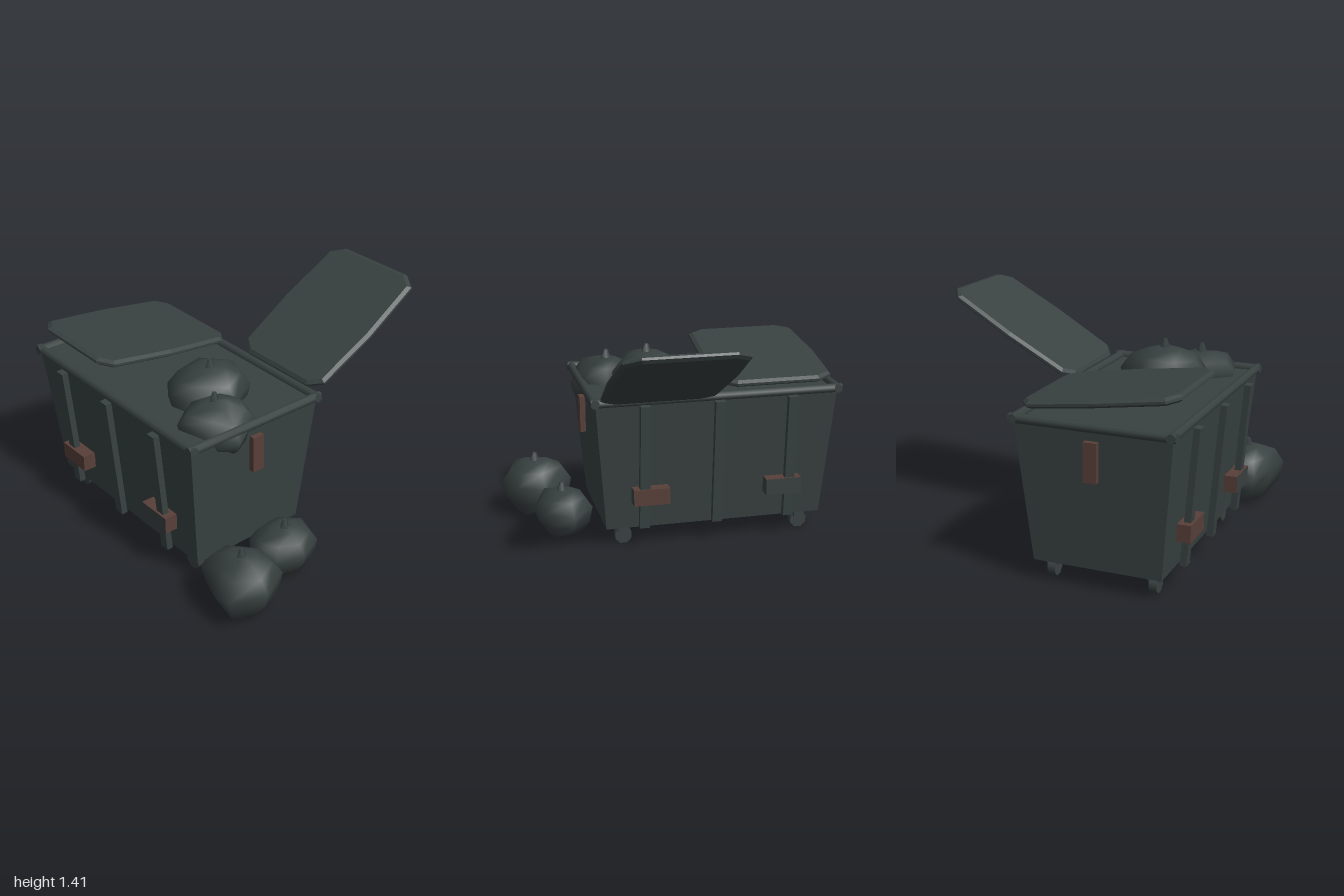
import * as THREE from 'three';
import { mergeVertices } from 'three/addons/utils/BufferGeometryUtils.js';

const paint = (name, color) => {
  const m = new THREE.MeshStandardMaterial({ color });
  m.name = name;
  return m;
};

export function createModel() {
  const model = new THREE.Group();
  const metal = paint('dark grey metal', 0x394141);
  const plastic = paint('dark bag plastic', 0x384040);
  const rust = paint('rusty brown', 0x583f39);
  const CX = -0.23, CZ = 0.36; // middle of the container

  const add = (name, geometry, material, x, y, z) => {
    const mesh = new THREE.Mesh(geometry, material);
    mesh.name = name;
    mesh.position.set(x, y, z);
    model.add(mesh);
    return mesh;
  };
  const box = (w, h, d) => new THREE.BoxGeometry(w, h, d);

  // Tapered container body
  const body = box(2, 0.81, 2);
  const p = body.attributes.position;
  for (let i = 0; i < p.count; i++) {
    const top = p.getY(i) > 0;
    p.setX(i, p.getX(i) * (top ? 0.738 : 0.672));
    p.setZ(i, p.getZ(i) * (top ? 0.446 : 0.37));
  }
  body.computeVertexNormals();
  add('body', body, metal, CX, 0.525, CZ);

  // Rim tubes
  const tube = (length) => new THREE.CylinderGeometry(0.027, 0.027, length, 8).rotateY(Math.PI / 8);
  for (const s of [-1, 1]) {
    add('rimLong', tube(1.53).rotateZ(Math.PI / 2), metal, CX, 0.935, CZ + s * 0.44);
    add('rimShort', tube(0.93).rotateX(Math.PI / 2), metal, CX + s * 0.74, 0.935, CZ);
  }

  // Leaning ribs on the front and back
  for (const s of [-1, 1]) {
    for (const x of [-0.68, -0.23, 0.22]) {
      const rib = add('rib', box(0.06, 0.78, 0.038), metal, x, 0.525, CZ + s * 0.45);
      rib.rotation.x = s * 0.081;
    }
  }

  // Lifting blocks, with worn faces: +x, -x, +y, -y, +z, -z
  const R = rust, M = metal;
  const block = box(0.22, 0.1, 0.08);
  add('liftBlock', block, R, -0.64, 0.34, 0.793);
  add('liftBlock', block, [R, R, R, R, M, R], 0.18, 0.34, 0.793);
  add('liftBlock', block, [M, R, R, R, R, R], 0.18, 0.34, -0.068);
  add('liftBlock', block, [M, M, R, M, M, M], -0.64, 0.34, -0.068);

  // Side handles
  for (const s of [-1, 1]) {
    add('sideHandle', box(0.034, 0.22, 0.075), rust, CX + s * 0.747, 0.75, CZ);
  }

  // Castors
  for (const sx of [-1, 1]) {
    for (const sz of [-1, 1]) {
      const x = CX + sx * 0.56, z = CZ + sz * 0.297;
      const wheel = new THREE.CylinderGeometry(0.054, 0.054, 0.045, 8);
      wheel.rotateY(Math.PI / 8).rotateX(Math.PI / 2);
      add('wheel', wheel.toNonIndexed(), metal, x, 0.052, z);
      add('wheelBracket', box(0.065, 0.05, 0.075), metal, x, 0.1, z);
    }
  }

  // Two bevelled lids with clipped corners and bowed sides
  const outline = [[0.255, -0.452], [0.345, -0.39], [0.364, 0], [0.345, 0.39], [0.255, 0.452]];
  const mirrored = outline.map(([x, y]) => [-x, y]).reverse();
  const lidShape = new THREE.Shape([...outline, ...mirrored].map(([x, y]) => new THREE.Vector2(x, y)));
  const lid = new THREE.ExtrudeGeometry(lidShape, {
    depth: 0.014, bevelThickness: 0.014, bevelSize: 0.022, bevelOffset: -0.022, bevelSegments: 1,
  });
  lid.translate(0, 0, -0.007).rotateX(-Math.PI / 2);
  add('closedLid', lid, metal, -0.6, 1.052, 0.365).rotation.x = -0.133;
  add('openLid', lid, metal, 0.145, 1.174, -0.5).rotation.x = 0.524;

  // Bin bags: one outline scaled up a profile of [height, width], plus a knot
  const profile = [[0, 0], [0.02, 0.58], [0.3, 0.89], [0.62, 1], [0.86, 0.75], [1, 0.38], [1.03, 0]];
  const bag = (cx, cz, y0, y1, points, sag = 0) => {
    const n = points.length, pos = [], index = [];
    profile.forEach(([h, w], r) => {
      points.forEach(([x, z], j) => {
        const wobble = w > 0.5 ? 0.012 * Math.sin(j * 2.4 + r * 1.7) : 0;
        const drop = j === 2 ? sag * w : 0;
        const y = y0 + h * (y1 - y0) + wobble - drop;
        pos.push(cx + (x - cx) * w, y, cz + (z - cz) * w);
        if (r === 0) return;
        const k = (j + 1) % n, a = (r - 1) * n + j, b = (r - 1) * n + k, c = r * n + j, d = r * n + k;
        if (r > 1) index.push(a, c, b);
        if (r < profile.length - 1) index.push(b, c, d);
      });
    });
    let geometry = new THREE.BufferGeometry();
    geometry.setAttribute('position', new THREE.Float32BufferAttribute(pos, 3));
    geometry.setIndex(index);
    geometry = mergeVertices(geometry);
    geometry.computeVertexNormals();
    add('binBag', geometry, plastic, 0, 0, 0);
    add('bagKnot', new THREE.CylinderGeometry(0.014, 0.034, 0.06, 4), plastic, cx, y1 + 0.025, cz);
  };
  // Floor bags
  bag(0.78, 0.69, 0.02, 0.35, [[0.74, 0.48], [0.915, 0.51], [1, 0.69], [0.925, 0.89],
    [0.725, 0.86], [0.56, 0.8], [0.555, 0.64]]);
  bag(0.665, 0.28, 0.02, 0.285, [[0.62, 0.065], [0.78, 0.13], [0.84, 0.28], [0.79, 0.45],
    [0.63, 0.5], [0.5, 0.4], [0.49, 0.2]]);
  // Bags in the container, one sagging over the side
  bag(0.11, 0.36, 0.8, 1.11, [[0.06, 0.1], [0.25, 0.18], [0.335, 0.36], [0.22, 0.58],
    [0.065, 0.62], [-0.09, 0.51], [-0.13, 0.28]]);
  bag(0.335, 0.51, 0.79, 1.05, [[0.37, 0.3], [0.5, 0.36], [0.56, 0.51], [0.51, 0.67],
    [0.29, 0.73], [0.17, 0.59], [0.22, 0.36]], 0.06);

  return model;
}
